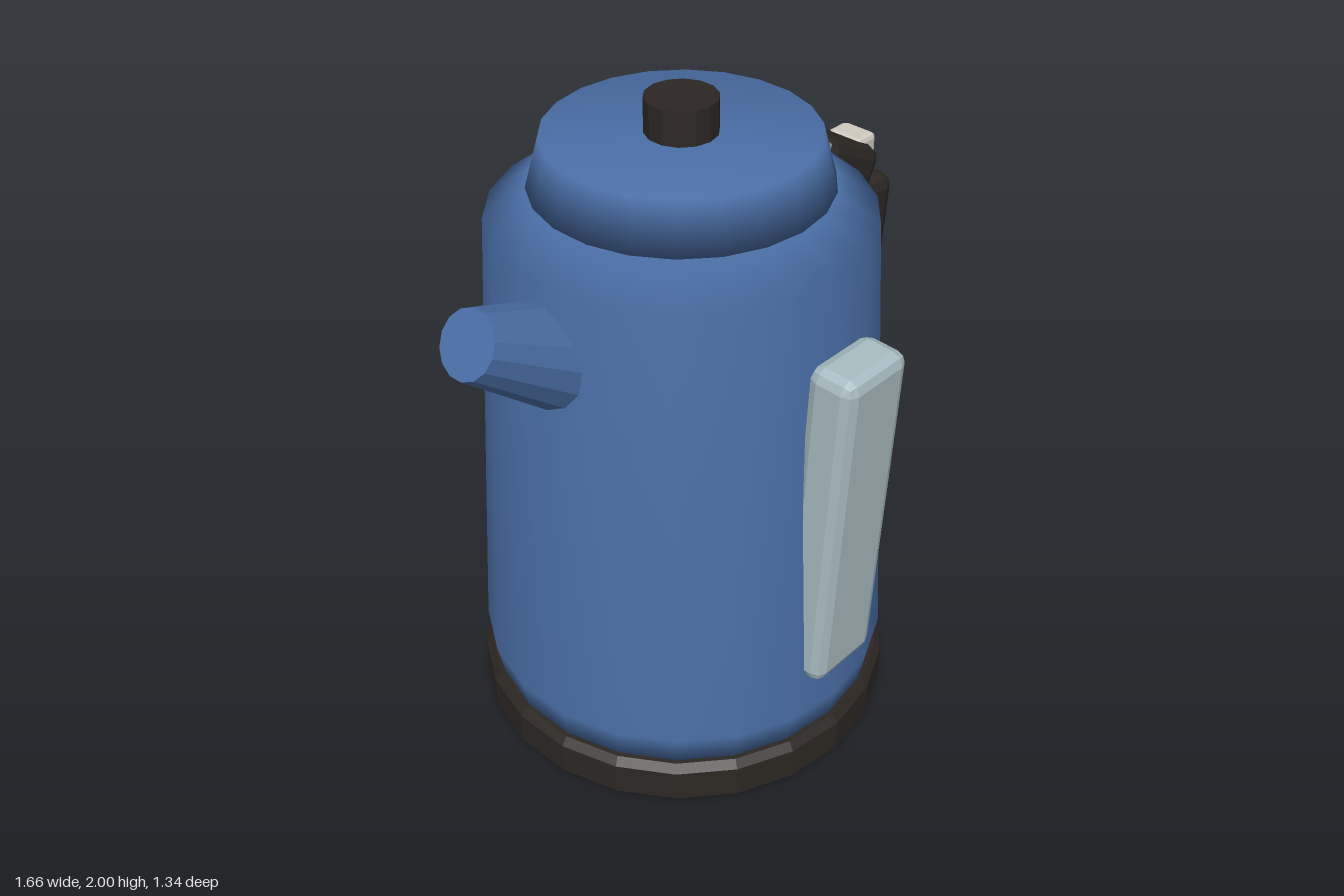
import * as THREE from 'three';
import { RoundedBoxGeometry } from 'three/addons/geometries/RoundedBoxGeometry.js';

const CX = -0.01, CZ = -0.035, SIDES = 22;

const mat = (color, flatShading) => new THREE.MeshStandardMaterial({ color, flatShading });
const blue = mat(0x4a6ea6, false);
const blueFlat = mat(0x4a6ea6, true);
const dark = mat(0x2c2723, true);
const glass = mat(0xa8bcc1, true);
const ivory = mat(0xcfcac0, true);

export function createModel() {
  const group = new THREE.Group();

  const add = (name, geometry, material, x, y, z) => {
    const mesh = new THREE.Mesh(geometry, material);
    mesh.name = name;
    mesh.position.set(x, y, z);
    group.add(mesh);
    return mesh;
  };

  // Round parts, turned around the kettle's own axis
  const turned = (name, material, profile) => {
    const points = profile.map(([r, y]) => new THREE.Vector2(r, y));
    return add(name, new THREE.LatheGeometry(points, SIDES), material, CX, 0, CZ);
  };

  // Boxes with chamfered edges
  const block = (name, material, [w, h, d], bevel, [x, y, z]) =>
    add(name, new RoundedBoxGeometry(w, h, d, 1, bevel), material, x, y, z);

  turned('base', dark, [[0, 0], [0.62, 0], [0.64, 0.02], [0.64, 0.125], [0.62, 0.15], [0, 0.15]]);
  turned('body', blue, [[0, 0.14], [0.605, 0.145], [0.625, 0.25], [0.54, 1.67], [0.42, 1.755], [0, 1.755]]);
  turned('lid', blue, [[0, 1.75], [0.42, 1.755], [0.38, 1.9], [0, 1.9]]);
  add('lidKnob', new THREE.CylinderGeometry(0.102, 0.102, 0.12, 14), dark, CX, 1.94, CZ);

  // Spout: tapered tube leaning 30 degrees above horizontal
  const spoutLength = 0.42;
  const spout = new THREE.CylinderGeometry(0.094, 0.167, spoutLength, 14);
  spout.translate(0, -spoutLength / 2, 0);
  add('spout', spout, blueFlat, -0.785, 1.602, CZ).rotation.z = Math.PI / 3;

  // Water level window on the front, leaning with a slight outward tilt
  block('waterWindow', glass, [0.25, 1.08, 0.15], 0.035, [CX, 0.92, 0.565]).rotation.x = 0.045;

  // Handle: two brackets, a leaning grip and a push button
  block('upperBracket', dark, [0.28, 0.175, 0.212], 0.04, [0.605, 1.572, CZ]).rotation.z = -0.47;
  block('lowerBracket', dark, [0.2, 0.12, 0.212], 0.035, [0.59, 0.478, CZ]).rotation.z = 0.87;

  const grip = block('grip', dark, [0.176, 0.99, 0.212], 0.04, [0.702, 1.0, CZ]);
  grip.rotation.z = -0.085;
  const p = grip.geometry.attributes.position;
  for (let i = 0; i < p.count; i++) p.setX(i, p.getX(i) * (1 + 0.14 * p.getY(i))); // wider at the top
  grip.geometry.computeVertexNormals();

  block('lidButton', ivory, [0.09, 0.078, 0.122], 0.016, [0.737, 1.588, CZ]);

  return group;
}
